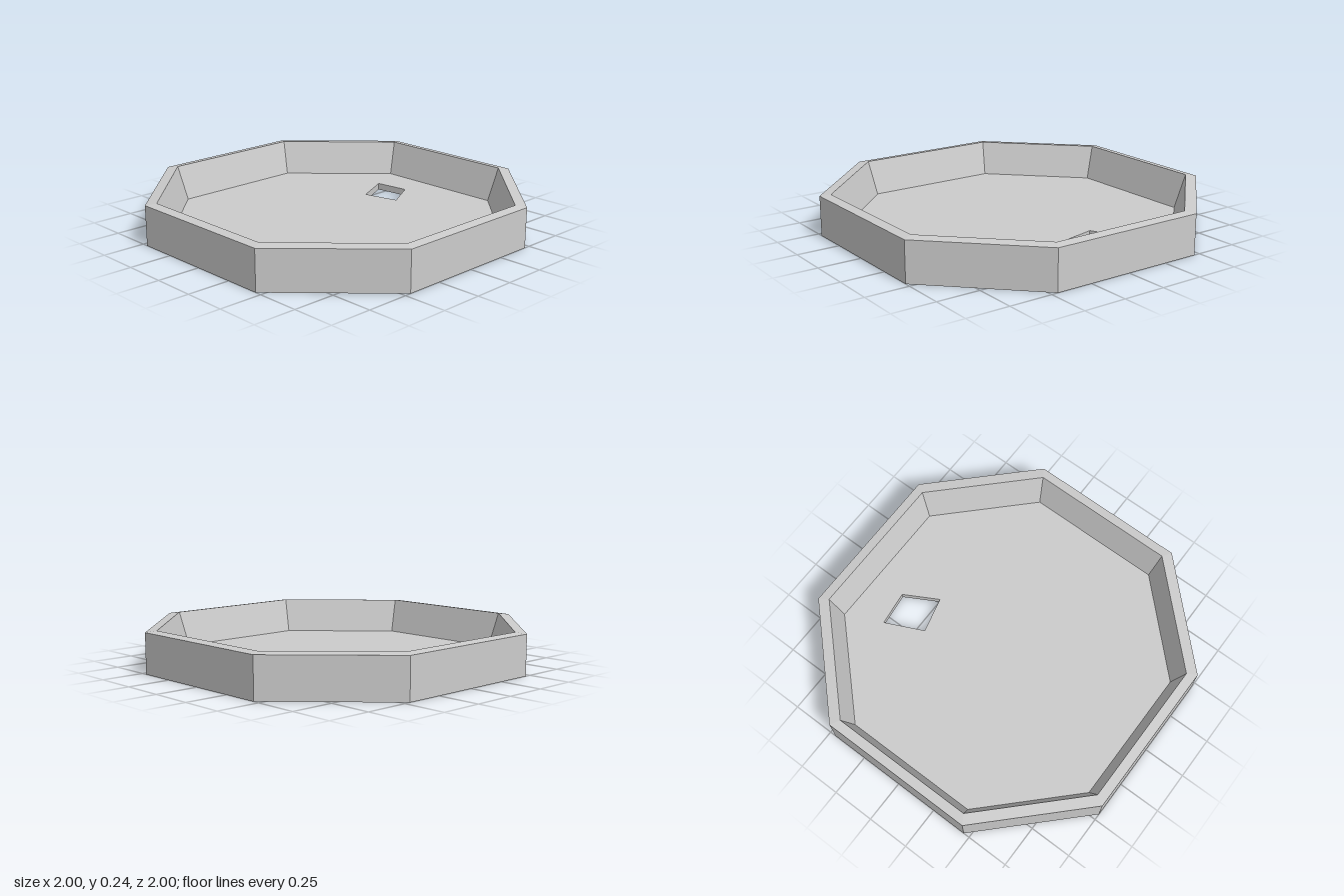
import * as THREE from 'three';

const material = new THREE.MeshStandardMaterial({ color: 0xcccccc, flatShading: true });

// Octagon outline as [x, z]: a = distance of the straight sides, h = half their length
const octagon = (a, h) => [[a, -h], [a, h], [h, a], [-h, a], [-a, h], [-a, -h], [-h, -a], [h, -a]];

// Four-cornered opening through the floor
const opening = [[-0.305, -0.67], [-0.1, -0.695], [0.01, -0.495], [-0.2, -0.445]];

// Joins two outlines of equal count, each at its own height
function band(name, from, y0, to, y1) {
  const pos = [];
  const n = from.length;
  for (let i = 0; i < n; i++) {
    const j = (i + 1) % n;
    const a = [from[i][0], y0, from[i][1]], b = [to[i][0], y1, to[i][1]];
    const c = [to[j][0], y1, to[j][1]], d = [from[j][0], y0, from[j][1]];
    pos.push(...a, ...b, ...c, ...a, ...c, ...d);
  }
  const geo = new THREE.BufferGeometry();
  geo.setAttribute('position', new THREE.Float32BufferAttribute(pos, 3));
  geo.computeVertexNormals();
  const mesh = new THREE.Mesh(geo, material);
  mesh.name = name;
  return mesh;
}

// Horizontal octagon with the opening cut out, facing up (1) or down (-1)
function plate(name, outline, y, facing) {
  const points = (list) => list.map(([x, z]) => new THREE.Vector2(x, -facing * z));
  const shape = new THREE.Shape(points(outline));
  shape.holes.push(new THREE.Path(points(opening)));
  const geo = new THREE.ShapeGeometry(shape);
  geo.rotateX(-facing * Math.PI / 2);
  geo.translate(0, y, 0);
  const mesh = new THREE.Mesh(geo, material);
  mesh.name = name;
  return mesh;
}

export function createModel() {
  const outer = octagon(1, 0.463);
  const rim = octagon(0.945, 0.43);
  const floor = octagon(0.887, 0.405);
  const floorY = 0.04, edgeY = 0.232, rimY = 0.24;

  const group = new THREE.Group();
  group.name = 'octagonalTray';
  group.add(
    band('outerWall', outer, 0, outer, edgeY),
    band('slopedRim', outer, edgeY, rim, rimY),
    band('innerWall', rim, rimY, floor, floorY),
    plate('floor', floor, floorY, 1),
    plate('underside', outer, 0, -1),
    band('openingSides', opening, floorY, opening, 0),
  );
  return group;
}
